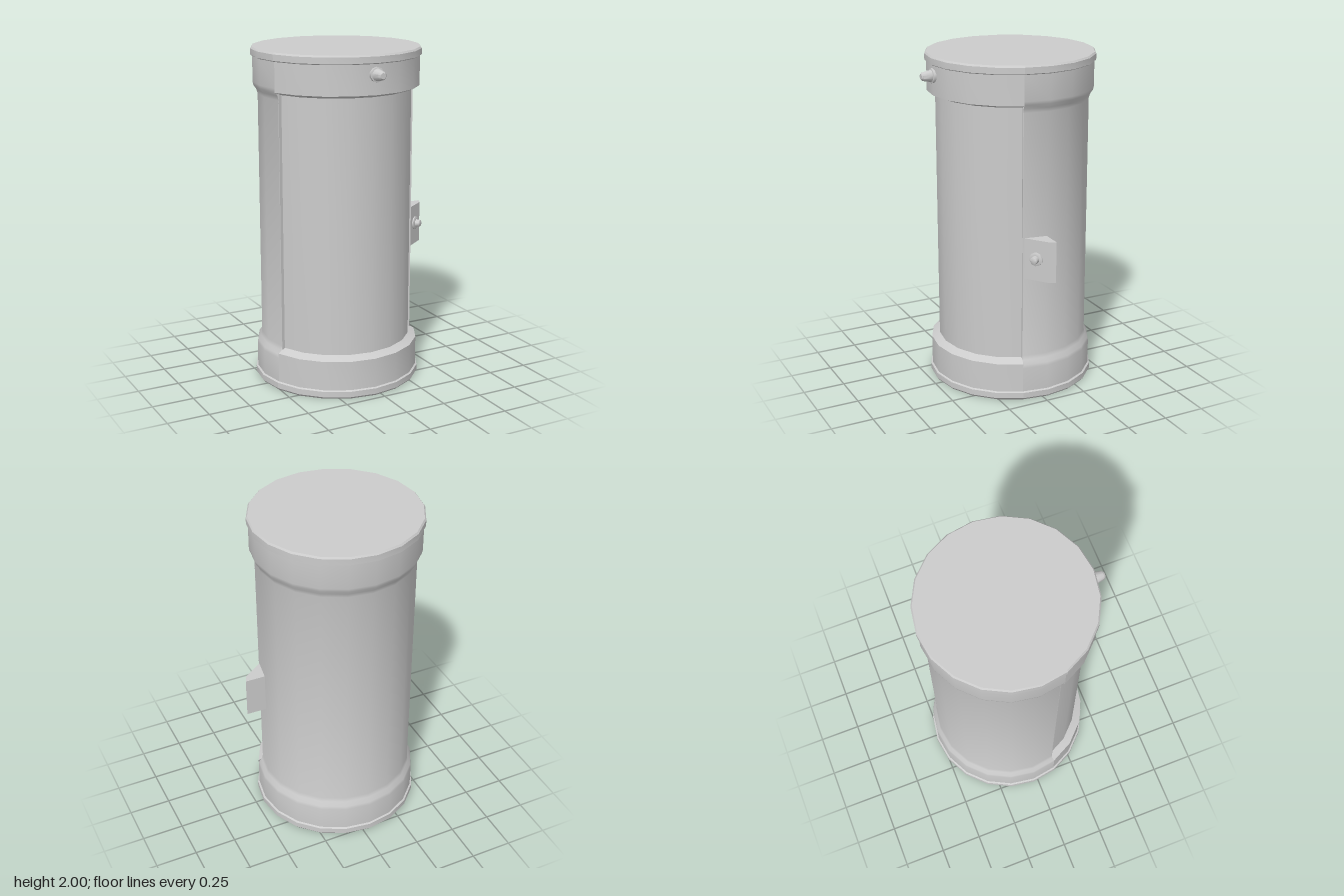
import * as THREE from 'three';
import { toCreasedNormals } from 'three/addons/utils/BufferGeometryUtils.js';

const mat = new THREE.MeshStandardMaterial({ color: 0xcccccc });
const sheet = new THREE.MeshStandardMaterial({ color: 0xcccccc, side: THREE.DoubleSide });

function mesh(name, geometry, material = mat) {
  const m = new THREE.Mesh(geometry, material);
  m.name = name;
  return m;
}

// Partial or full lathe from [radius, y] pairs, creased at hard edges
function lathe(points, sides, start = 0, sweep = Math.PI * 2, crease = 0.6) {
  const profile = points.map(([r, y]) => new THREE.Vector2(r, y));
  return toCreasedNormals(new THREE.LatheGeometry(profile, sides, start, sweep), crease);
}

export function createModel() {
  const group = new THREE.Group();
  const drum = new THREE.Group();
  drum.name = 'drum';
  drum.position.set(-0.04, 0, -0.03);
  group.add(drum);

  const edge = Math.PI * 0.4; // half opening angle of the front panel
  const bottomRim = [[0, 0], [0.488, 0], [0.498, 0.012], [0.498, 0.046], [0.488, 0.052]];
  const topRim = [[0.488, 1.948], [0.498, 1.954], [0.498, 1.99], [0.49, 2], [0.0, 2]];

  // Rear shell flares smoothly into the collars
  const rear = [...bottomRim, [0.488, 0.2], [0.484, 0.22], [0.467, 0.245], [0.46, 0.27],
    [0.46, 1.73], [0.467, 1.755], [0.484, 1.78], [0.488, 1.8], ...topRim];
  drum.add(mesh('rearShell', lathe(rear, 12, edge, Math.PI * 2 - 2 * edge), sheet));

  // Front panel is recessed, with a sloping ledge at each collar
  const front = [...bottomRim, [0.488, 0.228], [0.44, 0.252],
    [0.44, 1.758], [0.488, 1.776], ...topRim];
  drum.add(mesh('frontPanel', lathe(front, 8, -edge, 2 * edge), sheet));

  // Thin steps where the rear shell meets the front panel
  for (const s of [-1, 1]) {
    const step = mesh('panelEdge', new THREE.BoxGeometry(0.004, 1.52, 0.025));
    step.position.set(s * Math.sin(edge) * 0.4475, 1.005, Math.cos(edge) * 0.4475);
    step.rotation.y = s * edge;
    drum.add(step);
  }

  // Front knob on the upper collar
  const knob = mesh('frontKnob', lathe([[0, -0.02], [0.043, -0.02], [0.043, 0.006], [0.035, 0.008],
    [0.025, 0.058], [0.017, 0.068], [0, 0.068]], 10, 0, Math.PI * 2, 0.7));
  knob.rotation.x = Math.PI / 2;
  knob.position.set(-0.045, 1.89, 0.462);
  group.add(knob);

  // Wedge latch block, its plan extruded upward (shape y becomes -z)
  const plan = new THREE.Shape([[0.385, -0.112], [0.519, -0.015], [0.539, 0.027], [0.40, 0.03]]
    .map(([x, y]) => new THREE.Vector2(x, y)));
  const blockGeometry = new THREE.ExtrudeGeometry(plan, { depth: 0.245, bevelEnabled: false });
  blockGeometry.rotateX(-Math.PI / 2);
  const block = mesh('latchBlock', blockGeometry);
  block.position.y = 0.757;
  group.add(block);

  // Stud set square to the slanted latch face
  const stud = mesh('latchStud', lathe([[0, -0.015], [0.041, -0.015], [0.041, 0.006], [0.033, 0.01],
    [0.024, 0.01], [0.022, 0.034], [0.017, 0.038], [0, 0.038]], 10, 0, Math.PI * 2, 0.7));
  stud.position.set(0.459, 0.888, 0.06);
  stud.quaternion.setFromUnitVectors(new THREE.Vector3(0, 1, 0),
    new THREE.Vector3(0.59, 0, 0.81).normalize());
  group.add(stud);

  return group;
}
